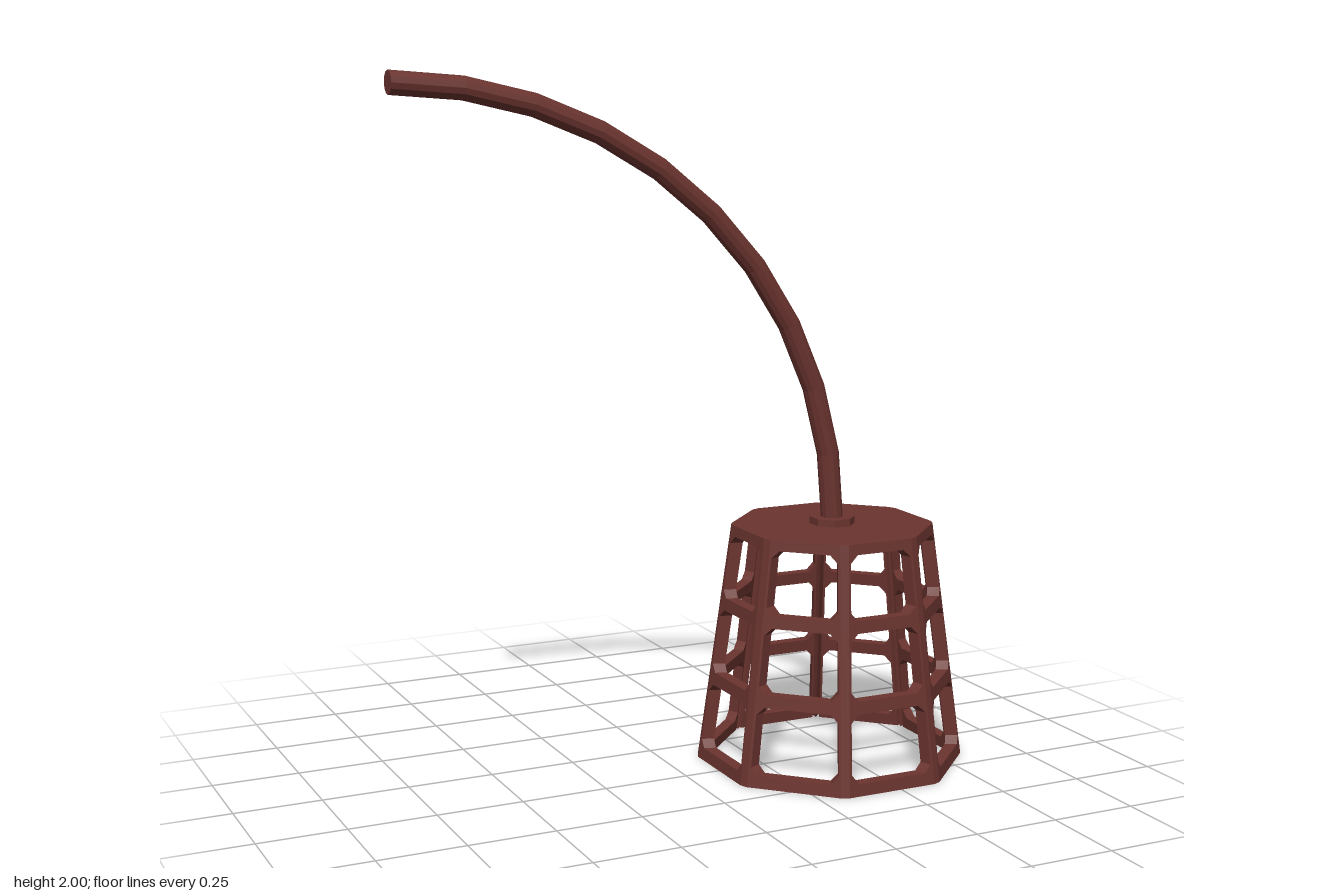
import * as THREE from 'three';
import { ConvexGeometry } from 'three/addons/geometries/ConvexGeometry.js';

const SIDES = 8, CENTRE_X = 0.47;
const PANEL_TOP = 0.68, CAGE_TOP = 0.7;
const DEPTH = 0.034, STILE = 0.02, CHAMFER = 0.013;
const TAN = Math.tan(Math.PI / SIDES);

// Distance from cage axis to a face, and half the face's width, at height y
const apothem = (y) => 0.365 - (0.09 * y) / CAGE_TOP;
const halfSide = (y) => apothem(y) * TAN;

const material = new THREE.MeshStandardMaterial({ color: 0x6b342f, flatShading: true });

function add(parent, name, geometry) {
  const mesh = new THREE.Mesh(geometry, material);
  mesh.name = name;
  parent.add(mesh);
  return mesh;
}

// Window opening with chamfered corners, following the taper
function windowPath(y0, y1) {
  const c = 0.022;
  const w = (y) => halfSide(y) - STILE;
  const right = [[w(y0) - c, y0], [w(y0 + c), y0 + c], [w(y1 - c), y1 - c], [w(y1) - c, y1]];
  const left = right.map(([x, y]) => [-x, y]).reverse();
  return new THREE.Path([...right, ...left].map(([x, y]) => new THREE.Vector2(x, y)));
}

// One tapered lattice face, sloped and mitred towards the axis
function panelGeometry() {
  const b = halfSide(0) - CHAMFER, t = halfSide(PANEL_TOP) - CHAMFER;
  const shape = new THREE.Shape([[-b, 0], [b, 0], [t, PANEL_TOP], [-t, PANEL_TOP]]
    .map(([x, y]) => new THREE.Vector2(x, y)));
  for (const [y0, y1] of [[0.035, 0.228], [0.264, 0.452], [0.487, 0.67]]) {
    shape.holes.push(windowPath(y0, y1));
  }
  const g = new THREE.ExtrudeGeometry(shape, { depth: DEPTH, bevelEnabled: false });
  const p = g.attributes.position;
  for (let i = 0; i < p.count; i++) {
    const x = p.getX(i), y = p.getY(i), inward = DEPTH - p.getZ(i);
    const mitre = inward * TAN * Math.min(1, Math.abs(x) / halfSide(y));
    p.setXYZ(i, x - Math.sign(x) * mitre, y, apothem(y) - inward);
  }
  g.computeVertexNormals();
  return g;
}

// Point on a face's outer edge, turned to the given face
function edgePoint(face, side, y) {
  return new THREE.Vector3(side * (halfSide(y) - CHAMFER), y, apothem(y))
    .applyAxisAngle(new THREE.Vector3(0, 1, 0), (face * 2 * Math.PI) / SIDES);
}

// Chamfered filler between two neighbouring faces
function cornerGeometry() {
  const points = [];
  for (const y of [0, PANEL_TOP]) {
    const a = edgePoint(0, 1, y), b = edgePoint(1, -1, y);
    const inner = a.clone().add(b).multiplyScalar(0.5);
    const s = (apothem(y) - DEPTH) / apothem(y);
    points.push(a, b, new THREE.Vector3(inner.x * s, y, inner.z * s));
  }
  return new ConvexGeometry(points);
}

class ArmCurve extends THREE.Curve {
  getPoint(t, target = new THREE.Vector3()) {
    const a = (t * Math.PI) / 2;
    return target.set(-0.84 + 1.31 * Math.cos(a), 0.708 + 1.26 * Math.sin(a), 0);
  }
}

export function createModel() {
  const model = new THREE.Group();
  model.name = 'cageLamp';

  // Lattice cage
  const cage = new THREE.Group();
  cage.name = 'cage';
  cage.position.x = CENTRE_X;
  model.add(cage);
  const panel = panelGeometry(), corner = cornerGeometry();
  for (let i = 0; i < SIDES; i++) {
    const angle = (i * 2 * Math.PI) / SIDES;
    add(cage, 'cagePanel', panel).rotation.y = angle;
    add(cage, 'cageCorner', corner).rotation.y = angle;
  }

  // Top plate
  const platePoints = [];
  for (const y of [PANEL_TOP, CAGE_TOP]) {
    for (let i = 0; i < SIDES; i++) platePoints.push(edgePoint(i, -1, y), edgePoint(i, 1, y));
  }
  add(cage, 'topPlate', new ConvexGeometry(platePoints));

  // Collar where the arm meets the plate
  const collar = add(cage, 'collar', new THREE.CylinderGeometry(0.066, 0.066, 0.022, SIDES));
  collar.position.y = CAGE_TOP + 0.01;
  collar.rotation.y = Math.PI / SIDES;

  // Curved arm and its end cap
  const radius = 0.032;
  add(model, 'arm', new THREE.TubeGeometry(new ArmCurve(), 10, radius, 12));
  const cap = add(model, 'armEndCap', new THREE.CircleGeometry(radius, 12));
  cap.position.set(-0.84, 1.968, 0);
  cap.rotation.y = -Math.PI / 2;

  return model;
}
